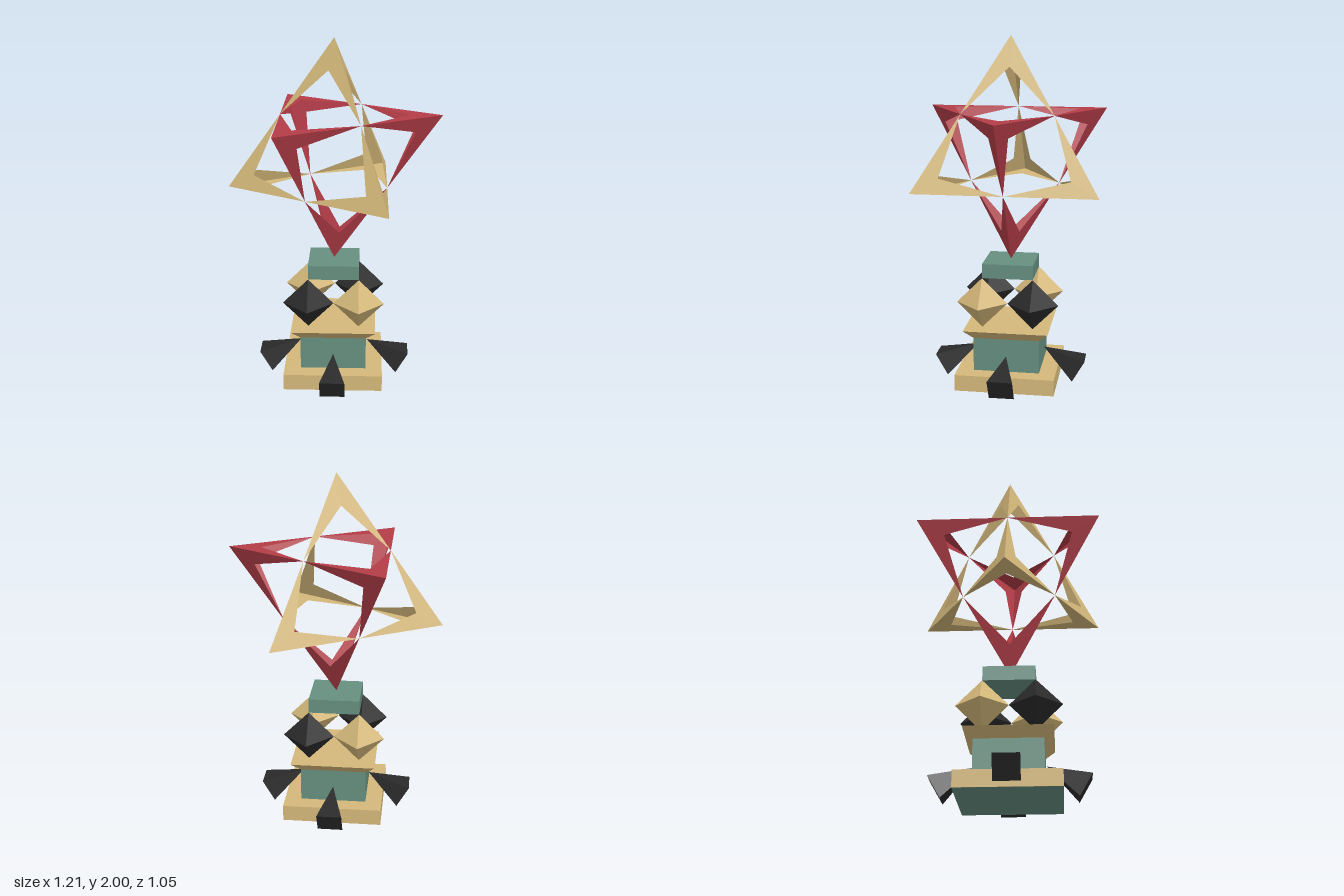
import * as THREE from 'three';

const paint = (color, side = THREE.FrontSide) =>
  new THREE.MeshStandardMaterial({ color, flatShading: true, side });

const GOLD = 0xd4b87a, RED = 0xb43d48, TEAL = 0x668f80, BLACK = 0x2a2a2b;

function addMesh(parent, name, geometry, material, x = 0, y = 0, z = 0) {
  const mesh = new THREE.Mesh(geometry, material);
  mesh.name = name;
  mesh.position.set(x, y, z);
  parent.add(mesh);
  return mesh;
}

// Square frustum or pyramid with half-widths at top and bottom
function squareFrustum(top, bottom, height) {
  return new THREE.CylinderGeometry(top * Math.SQRT2, bottom * Math.SQRT2, height, 4)
    .rotateY(Math.PI / 4);
}

// Tetrahedron shell: each face keeps three notched corners that meet at the edge midpoints
function openTetrahedron(radius, direction) {
  const ring = radius * Math.sqrt(8) / 3;
  const corners = [new THREE.Vector3(0, radius, 0)];
  for (let i = 0; i < 3; i++) {
    const a = Math.PI + i * Math.PI * 2 / 3;
    corners.push(new THREE.Vector3(ring * Math.cos(a), -radius / 3, ring * Math.sin(a)));
  }
  corners.forEach(c => c.multiplyScalar(direction));

  const points = [];
  for (let skip = 0; skip < 4; skip++) {
    const face = corners.filter((_, i) => i !== skip);
    const centre = face[0].clone().add(face[1]).add(face[2]).divideScalar(3);
    const normal = face[1].clone().sub(face[0]).cross(face[2].clone().sub(face[0]));
    if (normal.dot(centre) < 0) face.reverse();
    for (let i = 0; i < 3; i++) {
      const c = face[i];
      const next = c.clone().lerp(face[(i + 1) % 3], 0.5);
      const last = c.clone().lerp(face[(i + 2) % 3], 0.5);
      const notch = c.clone().lerp(centre, 0.3);
      points.push(c, next, notch, c, notch, last);
    }
  }
  const geometry = new THREE.BufferGeometry().setFromPoints(points);
  geometry.computeVertexNormals();
  return geometry;
}

export function createModel() {
  const model = new THREE.Group();
  model.name = 'starOrnament';
  const gold = paint(GOLD), teal = paint(TEAL), black = paint(BLACK);

  // Stepped pedestal
  addMesh(model, 'basePlate', new THREE.BoxGeometry(0.57, 0.094, 0.57), gold, 0, 0.048, 0);
  addMesh(model, 'baseUnderside', new THREE.PlaneGeometry(0.57, 0.57).rotateX(Math.PI / 2), teal);
  addMesh(model, 'pedestalBlock', new THREE.BoxGeometry(0.38, 0.195, 0.38), teal, 0, 0.1925, 0);
  addMesh(model, 'flaredTray', squareFrustum(0.243, 0.19, 0.055), gold, 0, 0.3175, 0);

  // Four pyramid feet, points tucked against the pedestal
  const footShape = squareFrustum(0, 0.0715, 0.241)
    .rotateX(-Math.PI / 3)
    .translate(0, 0.129, 0.301);
  for (let i = 0; i < 4; i++) {
    addMesh(model, 'pyramidFoot', footShape, black).rotation.y = i * Math.PI / 2;
  }

  // Four octahedra in alternating colours carrying the cap
  const gem = new THREE.OctahedronGeometry(0.146);
  for (const sx of [-1, 1]) {
    for (const sz of [-1, 1]) {
      addMesh(model, 'octahedron', gem, sx === sz ? gold : black, sx * 0.146, 0.491, sz * 0.146);
    }
  }
  addMesh(model, 'capBlock', new THREE.BoxGeometry(0.292, 0.083, 0.292), teal, 0, 0.6785, 0);

  // Two interlocked open tetrahedra
  const star = new THREE.Group();
  star.name = 'star';
  star.position.y = 1.36;
  addMesh(star, 'upwardTetrahedron', openTetrahedron(0.64, 1), paint(GOLD, THREE.DoubleSide));
  addMesh(star, 'downwardTetrahedron', openTetrahedron(0.64, -1), paint(RED, THREE.DoubleSide));
  model.add(star);

  return model;
}
